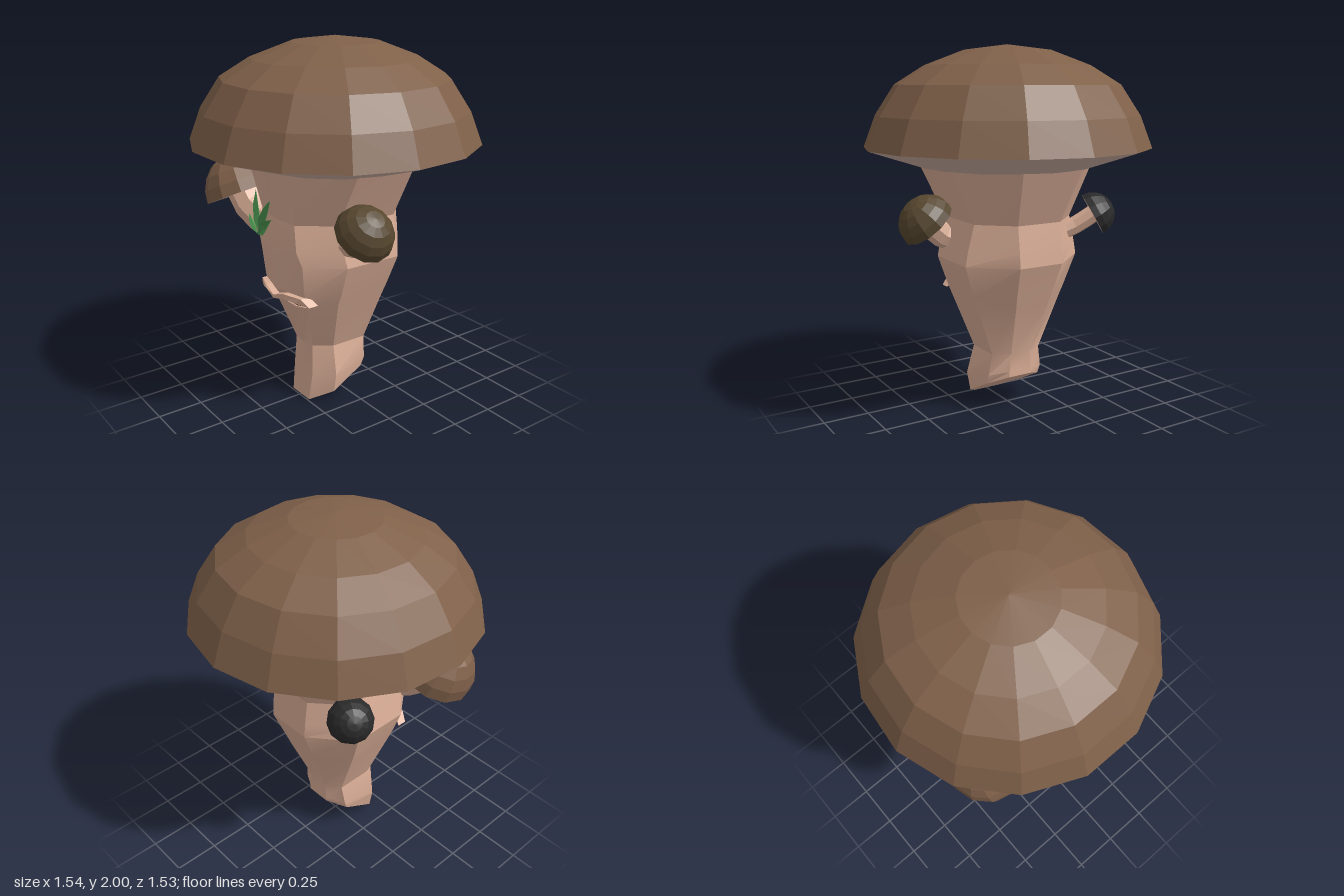
import * as THREE from 'three';
import { toCreasedNormals } from 'three/addons/utils/BufferGeometryUtils.js';

const mat = (name, color, side = THREE.FrontSide) => {
  const m = new THREE.MeshStandardMaterial({ color, side });
  m.name = name;
  return m;
};

export function createModel() {
  const skin = mat('skin', 0xd9ad96);
  const gills = mat('gills', 0xcdaea2, THREE.DoubleSide);
  const brown = mat('cap brown', 0x80614a);
  const olive = mat('dark olive brown', 0x57472f);
  const black = mat('charcoal', 0x2a2a2b);
  const green = mat('leaf green', 0x4c9550, THREE.DoubleSide);
  const dark = mat('eye dark', 0x2c211c);

  const root = new THREE.Group();
  root.name = 'mushroomHead';

  const add = (name, geo, material, crease = 0.1, parent = root) => {
    const mesh = new THREE.Mesh(toCreasedNormals(geo, crease), material);
    mesh.name = name;
    parent.add(mesh);
    return mesh;
  };
  const lathe = (pts, sides, start = 0) =>
    new THREE.LatheGeometry(pts.map(p => new THREE.Vector2(...p)), sides, start);

  // Skin surface through mirrored cross-sections, listed bottom to top.
  // Each section runs front centre -> left side -> back as [x, y, z].
  const loft = (sections, closeBottom) => {
    const rings = sections.map(s => [...s, ...s.slice(1).reverse().map(([x, y, z]) => [-x, y, z])]);
    const n = rings[0].length, index = [];
    for (let i = 0; i < rings.length - 1; i++) {
      for (let j = 0; j < n; j++) {
        const k = (j + 1) % n, a = i * n + j, b = i * n + k;
        index.push(a, b, b + n, a, b + n, a + n);
      }
    }
    if (closeBottom) for (let j = 1; j < n - 1; j++) index.push(0, j + 1, j);
    const g = new THREE.BufferGeometry();
    g.setAttribute('position', new THREE.Float32BufferAttribute(rings.flat(2), 3));
    g.setIndex(index);
    return g;
  };
  const ring = (y, pts) => pts.map(([x, z]) => [x, y, z]);

  // Main cap and its underside
  const capStart = Math.PI;
  add('mainCap', lathe([[0.775, 1.46], [0.71, 1.63], [0.605, 1.79], [0.445, 1.89], [0.235, 1.97], [0, 2]], 15, capStart), brown);
  add('mainCapUnderside', lathe([[0.4, 1.35], [0.47, 1.36], [0.67, 1.425], [0.775, 1.46]], 15, capStart), gills);

  // Neck flaring up into the cap
  const browTop = [[0, 0.375], [0.15, 0.365], [0.29, 0.19], [0.3, -0.165], [0.13, -0.32]];
  add('neck', loft([
    ring(1.08, browTop),
    ring(1.37, [[0, 0.465], [0.2, 0.42], [0.44, 0.18], [0.44, -0.18], [0.18, -0.45]]),
  ]), skin, 0.3);

  // Head tapering to a narrow root with a slanted base
  const slant = (x, z) => [x, 0.2 * (0.24 - z) / 0.38, z];
  add('head', loft([
    [slant(0, 0.24), slant(0.08, 0.24), slant(0.17, 0.13), slant(0.165, -0.06), slant(0.07, -0.14)],
    [[0, 0.17, 0.232], [0.09, 0.17, 0.22], [0.19, 0.17, 0.13], [0.17, 0.21, -0.08], [0.07, 0.23, -0.14]],
    ring(0.33, [[0, 0.222], [0.08, 0.212], [0.15, 0.12], [0.15, -0.09], [0.06, -0.14]]),
    ring(0.62, [[0, 0.345], [0.17, 0.305], [0.255, 0.165], [0.262, -0.125], [0.1, -0.255]]),
    ring(0.69, [[0, 0.388], [0.19, 0.335], [0.285, 0.165], [0.29, -0.135], [0.11, -0.28]]),
    ring(0.86, [[0, 0.392], [0.2, 0.352], [0.345, 0.17], [0.35, -0.16], [0.13, -0.345]]),
    ring(0.94, [[0, 0.392], [0.18, 0.375], [0.325, 0.18], [0.335, -0.16], [0.13, -0.338]]),
    ring(1.08, browTop),
  ], true), skin, 0.42);

  // Plate cut from an outline and bent back along the face
  const facePlate = (pts, depth, zAt) => {
    const g = new THREE.ExtrudeGeometry(new THREE.Shape(pts.map(p => new THREE.Vector2(...p))),
      { depth, bevelEnabled: false });
    const p = g.attributes.position;
    for (let i = 0; i < p.count; i++) p.setZ(i, p.getZ(i) - depth + zAt(Math.abs(p.getX(i))));
    return g;
  };

  // Brows and closed eyes
  for (const [side, s] of [['left', 1], ['right', -1]]) {
    const face = (name, pts, depth, zAt, material) => {
      const q = pts.map(([x, y]) => [x * s, y]);
      add(side + name, facePlate(s > 0 ? q : q.reverse(), depth, zAt), material);
    };
    face('Brow', [[0, 0.638], [0.08, 0.662], [0.15, 0.655], [0.235, 0.645], [0.19, 0.685], [0.08, 0.688], [0, 0.66]],
      0.055, x => 0.408 - 1.3 * x * x, skin);
    face('Eye', [[0.05, 0.635], [0.12, 0.622], [0.2, 0.632], [0.14, 0.642]], 0.009, x => 0.366 - 0.24 * x, dark);
    face('LowerLid', [[0.06, 0.63], [0.12, 0.608], [0.19, 0.628], [0.12, 0.62]], 0.03, x => 0.372 - 0.24 * x, skin);
  }

  // Small mushrooms growing from the head
  const sprout = (name, center, axis, radius, height, material, stemPts, stemRadius) => {
    const group = new THREE.Group();
    group.name = name;
    root.add(group);
    const dome = [[1, 0], [0.96, 0.3], [0.82, 0.58], [0.6, 0.81], [0.32, 0.95], [0, 1]]
      .map(([r, y]) => [r * radius, y * height]);
    const up = new THREE.Vector3(...axis).normalize();
    const place = m => {
      m.position.set(...center);
      m.quaternion.setFromUnitVectors(new THREE.Vector3(0, 1, 0), up);
    };
    place(add(name + 'Cap', lathe(dome, 12), material, 0.1, group));
    place(add(name + 'Underside', lathe([[0, 0.01], [radius, 0]], 12), gills, 0.1, group));
    const curve = new THREE.CatmullRomCurve3(stemPts.map(p => new THREE.Vector3(...p)));
    add(name + 'Stem', new THREE.TubeGeometry(curve, 4, stemRadius, 8), skin, 0.1, group);
  };
  sprout('rightSprout', [-0.425, 1.12, 0.33], [-0.38, 0.9, 0.12], 0.212, 0.23, brown,
    [[-0.1, 0.97, 0.22], [-0.27, 1.0, 0.29], [-0.36, 1.06, 0.32], [-0.425, 1.14, 0.33]], 0.095);
  sprout('leftSprout', [0.42, 1.055, 0.13], [0.65, 0.75, 0], 0.16, 0.155, olive,
    [[0.22, 0.95, 0.13], [0.33, 0.98, 0.13], [0.43, 1.07, 0.13]], 0.07);
  sprout('backSprout', [-0.39, 1.09, -0.26], [-0.75, 0.5, -0.45], 0.122, 0.12, black,
    [[-0.2, 0.98, -0.16], [-0.31, 1.03, -0.21], [-0.4, 1.1, -0.265]], 0.05);

  // Sprig of folded leaves on the forehead
  const leaf = (base, tip, width) => {
    const a = new THREE.Vector3(...base), b = new THREE.Vector3(...tip);
    const across = new THREE.Vector3(b.y - a.y, a.x - b.x, 0).normalize();
    const at = (t, w, lift) => a.clone().lerp(b, t).addScaledVector(across, w * width)
      .add(new THREE.Vector3(0, 0, lift));
    const pts = [a, at(0.35, 1, 0.012), at(0.7, 0.7, 0.01), b, at(0.7, -0.7, 0.01), at(0.35, -1, 0.012), at(0.45, 0, -0.01)];
    const g = new THREE.BufferGeometry().setFromPoints(pts);
    g.setIndex([0, 1, 6, 1, 2, 6, 2, 3, 6, 3, 4, 6, 4, 5, 6, 5, 0, 6]);
    return g;
  };
  [
    [[-0.14, 0.96, 0.4], [-0.19, 1.2, 0.385], 0.034],
    [[-0.14, 0.96, 0.405], [-0.02, 1.18, 0.4], 0.034],
    [[-0.14, 0.96, 0.41], [0, 1.08, 0.41], 0.032],
    [[-0.15, 0.96, 0.405], [-0.24, 1.06, 0.405], 0.02],
  ].forEach((l, i) => add('leaf' + (i + 1), leaf(...l), green));

  return root;
}
